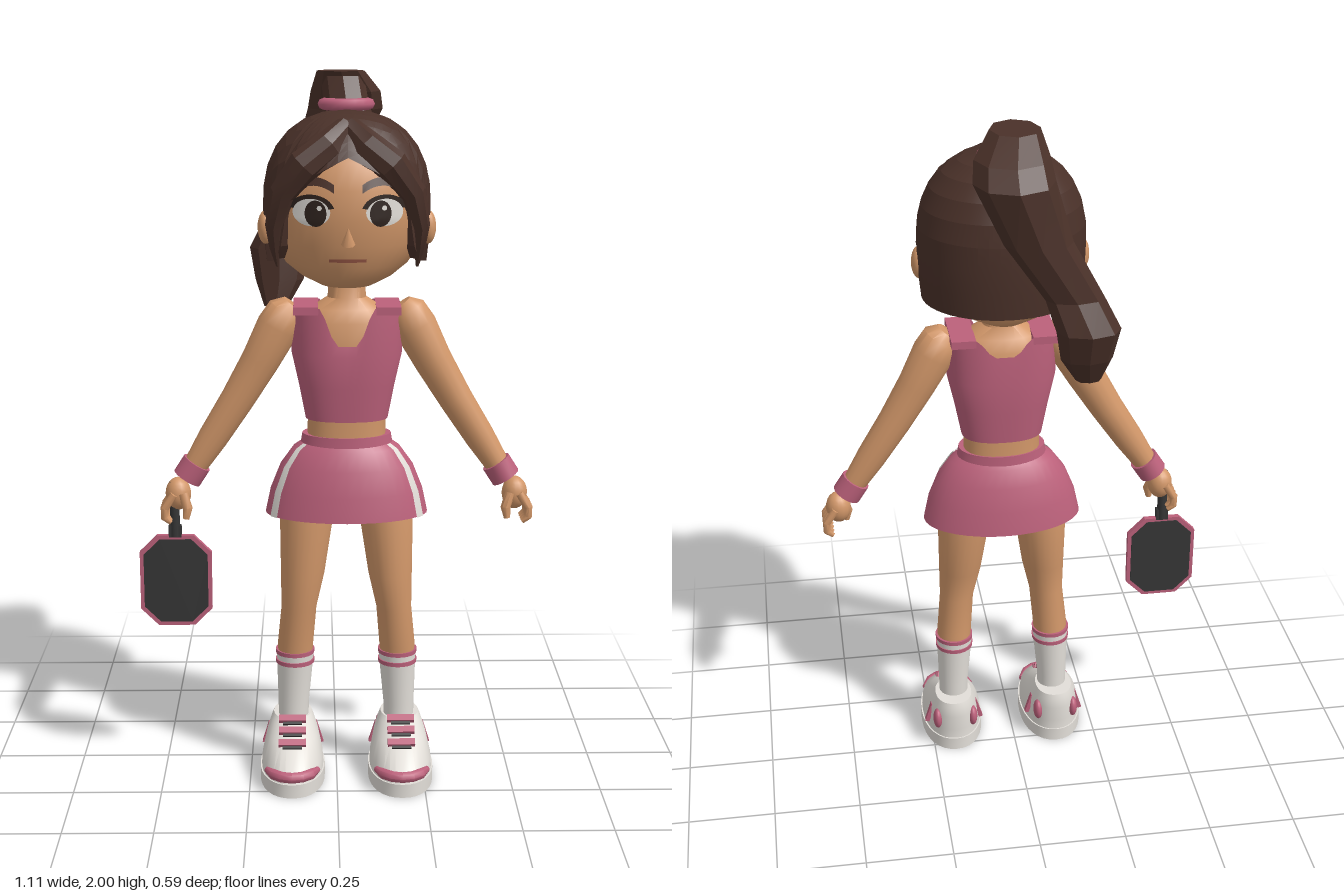
import * as THREE from 'three';
import { toCreasedNormals } from 'three/addons/utils/BufferGeometryUtils.js';

const mat = (name, color, side = THREE.FrontSide) => new THREE.MeshStandardMaterial({ name, color, side });

// Surface from rows of points; rows run upward, columns run from +x towards +z.
function grid(cols, rows, fn, crease = 0.7) {
  const pos = [], idx = [], w = cols + 1;
  for (let j = 0; j < rows; j++) for (let i = 0; i <= cols; i++) pos.push(...fn(i / cols, j));
  for (let j = 0; j < rows - 1; j++) for (let i = 0; i < cols; i++) {
    const a = j * w + i, b = a + 1, c = a + w, d = c + 1;
    idx.push(a, c, b, b, c, d);
  }
  const g = new THREE.BufferGeometry();
  g.setAttribute('position', new THREE.Float32BufferAttribute(pos, 3));
  g.setIndex(idx);
  return toCreasedNormals(g, crease);
}

// Stacked horizontal ovals: [y, rx, rz, cx, cz]
function loft(rings, { n = 24, power = 2, caps = true, crease = 0.7, edit } = {}) {
  const end = r => [r[0], 0, 0, r[3], r[4]];
  const all = caps ? [end(rings[0]), ...rings, end(rings[rings.length - 1])] : rings;
  const pw = v => Math.sign(v) * Math.pow(Math.abs(v), 2 / power);
  return grid(n, all.length, (u, j) => {
    const [y, rx, rz, cx = 0, cz = 0] = all[j], a = u * Math.PI * 2;
    const p = [cx + rx * pw(Math.cos(a)), y, cz + rz * pw(Math.sin(a))];
    return edit ? edit(p, j) : p;
  }, crease);
}

// Oval tube along a path: [x, y, z, width, depth]
function tube(path, n = 14, crease = 0.8) {
  const P = path.map(p => new THREE.Vector3(p[0], p[1], p[2])), last = path.length - 1;
  return grid(n, path.length + 2, (u, row) => {
    const j = Math.min(Math.max(row - 1, 0), last), a = u * Math.PI * 2;
    const k = row === 0 || row > last + 1 ? 0 : 1;
    const t = P[Math.min(j + 1, last)].clone().sub(P[Math.max(j - 1, 0)]).normalize();
    const e2 = new THREE.Vector3(0, 0, 1).addScaledVector(t, -t.z).normalize();
    const e1 = t.clone().cross(e2), [, , , ra, rb = ra] = path[j];
    return P[j].clone().addScaledVector(e1, k * ra * Math.cos(a)).addScaledVector(e2, k * rb * Math.sin(a)).toArray();
  }, crease);
}

const lerpAt = (table, x, c) => {
  let k = 0;
  while (k < table.length - 2 && x > table[k + 1][0]) k++;
  const [a, b] = [table[k], table[k + 1]];
  return THREE.MathUtils.lerp(a[c], b[c], THREE.MathUtils.clamp((x - a[0]) / (b[0] - a[0]), 0, 1));
};

const HEAD = [[1.43, .075, .1], [1.455, .125, .138], [1.49, .168, .158], [1.55, .205, .176], [1.62, .218, .188],
  [1.7, .214, .188], [1.77, .187, .168], [1.83, .14, .13], [1.87, .08, .08]].map(r => [...r, 0, .052]);

// Lays a flat outline on the curved face
function onFace(g, cx, cy, lift) {
  const p = g.attributes.position;
  for (let i = 0; i < p.count; i++) {
    const x = p.getX(i) + cx, y = p.getY(i) + cy;
    const q = Math.min(1, Math.abs(x) / lerpAt(HEAD, y, 1));
    p.setXYZ(i, x, y, .052 + lerpAt(HEAD, y, 2) * Math.sqrt(1 - q * q) + lift);
  }
  g.computeVertexNormals();
  return g;
}

export function createModel() {
  const skin = mat('skin', 0xd3986a), hair = mat('darkBrownHair', 0x4a3129, THREE.DoubleSide);
  const pink = mat('pinkFabric', 0xbc617b, THREE.DoubleSide), white = mat('offWhite', 0xe2ded8, THREE.DoubleSide);
  const dark = mat('charcoal', 0x363636), iris = mat('eyeBrown', 0x30241f), lip = mat('lip', 0x9c5a48);
  const model = new THREE.Group(), body = new THREE.Group();
  model.name = 'tennisGirl';
  body.name = 'body';
  body.position.x = 0.028;
  model.add(body);
  const add = (name, g, m, x = 0, y = 0, z = 0) => {
    const mesh = new THREE.Mesh(g, m);
    mesh.name = name;
    mesh.position.set(x, y, z);
    body.add(mesh);
    return mesh;
  };
  const ball = (name, m, c, s) => add(name, new THREE.SphereGeometry(1, 16, 12), m, ...c).scale.set(...s);
  const Z = .07, withZ = rings => rings.map(r => [...r, 0, Z]);

  // Torso, neck and head
  add('torso', loft(withZ([[.97, .11, .08], [1.1, .108, .078], [1.25, .138, .084], [1.33, .138, .08],
    [1.365, .1, .065], [1.395, .053, .047], [1.47, .048, .047]]), { power: 2.3 }), skin);
  add('head', loft(HEAD, { n: 40 }), skin);

  // Tank top with scooped neckline and straps
  add('tankTop', loft(withZ([[1.055, .115, .082], [1.15, .133, .092], [1.24, .153, .098], [1.375, .152, .092]]), {
    n: 56, power: 2.4, caps: false,
    edit: (p, j) => {
      if (j === 3) p[1] -= (p[2] > Z ? .105 : .05) * (1 - THREE.MathUtils.smoothstep(Math.abs(p[0]), .025, .08));
      return p;
    },
  }), pink);

  // Skirt, waistband and shorts
  const SKIRT = [[.78, .229, .137], [.85, .214, .128], [.92, .186, .112], [.97, .15, .093], [.985, .128, .083]];
  add('skirt', loft(withZ(SKIRT), { n: 36, caps: false }), pink);
  add('waistband', loft(withZ([[.975, .13, .086], [1.01, .124, .084]]), { n: 36 }), pink);
  add('shorts', loft(withZ([[.755, .035, .05], [.83, .14, .088], [.97, .13, .08]])), pink);

  for (const s of [1, -1]) {
    add('strap', new THREE.BoxGeometry(.068, .022, .168), pink, s * .113, 1.366, Z);
    add('skirtStripe', grid(3, SKIRT.length, (u, j) => {
      const [y, rx, rz] = SKIRT[j], a = .4 + u * .17;
      return [s * (rx + .004) * Math.cos(a), y, Z + (rz + .004) * Math.sin(a)];
    }), white);

    // Arm, wristband and hand
    add('arm', tube([[.15, 1.375, Z, .03], [.165, 1.355, Z, .054], [.19, 1.31, Z, .06], [.24, 1.215, Z, .053],
      [.305, 1.105, Z, .047], [.375, .995, .072, .042], [.445, .885, .075, .031]].map(p => [s * p[0], ...p.slice(1)])), skin);
    add('wristband', tube([[s * .421, .923, .074, .042], [s * .45, .878, .075, .042]], 16, .5), pink);
    ball('palm', skin, [s * .475, .835, .08], [.036, .047, .036]);
    for (let k = 0; k < 4; k++) {
      const z = .05 + k * .021;
      add('finger', tube([[s * .485, .84, z, .011], [s * .512, .8, z, .012], [s * .512, .772, z, .011],
        [s * .495, .758, z, .007]], 8), skin);
    }
    add('thumb', tube([[s * .46, .84, .105, .014], [s * .447, .8, .115, .014], [s * .452, .77, .117, .009]], 8), skin);

    // Leg and striped sock
    add('leg', loft([[.3, .046, .047, s * .148, .07], [.38, .051, .053, s * .147, .073], [.5, .05, .055, s * .136, .088],
      [.6, .062, .071, s * .125, .082], [.78, .077, .084, s * .112, .066], [.88, .07, .08, s * .1, .066]]), skin);
    add('sock', loft([[.1, .043, .044, s * .153, .068], [.2, .044, .046, s * .153, .067], [.363, .054, .055, s * .147, .071]]), white);
    for (const y of [.326, .355]) {
      add('sockStripe', loft([[y, .0555, .0565, s * .148, .071], [y + .012, .056, .057, s * .148, .071]]), pink);
    }

    // Shoe with toe trim, laces and side accents
    const fx = s * .156;
    add('sole', loft([[0, .093, .163, fx, .133], [.04, .093, .163, fx, .133]], { n: 32, power: 2.2 }), white);
    add('shoe', loft([[.04, .089, .159, fx, .133], [.07, .087, .153, fx, .128], [.12, .074, .115, fx, .086],
      [.15, .062, .085, fx, .06], [.165, .055, .07, fx, .05]], { n: 32, power: 2.2 }), white);
    add('toeTrim', tube([-.9, -.6, -.3, 0, .3, .6, .9].map(a =>
      [fx + .092 * Math.sin(a), .057, .13 + .155 * Math.cos(a), Math.abs(a) > .8 ? .009 : .016]), 8), pink);
    [[.17, .13], [.148, .163], [.124, .196]].forEach(([y, z]) => {
      add('lace', new THREE.BoxGeometry(.078, .013, .02), pink, fx, y, z).rotation.x = .6;
      add('laceGap', new THREE.BoxGeometry(.055, .006, .008), dark, fx, y - .008, z + .015).rotation.x = .6;
    });
    for (const t of [1, -1]) {
      ball('heelPatch', pink, [fx + t * .054, .1, .004], [.014, .033, .024]);
      add('sideBar', new THREE.BoxGeometry(.012, .065, .016), pink, fx + t * .074, .095, .047).rotation.z = t * .3;
    }

    // Ear, eye, lash and brow
    ball('ear', skin, [s * .222, 1.585, .066], [.022, .046, .028]);
    add('eyeWhite', onFace(new THREE.RingGeometry(0, 1, 24, 5).scale(.05, .037, 1), s * .097, 1.643, .004), white);
    add('iris', onFace(new THREE.RingGeometry(0, 1, 20, 4).scale(.029, .035, 1), s * .086, 1.64, .007), iris);
    add('eyeGlint', onFace(new THREE.RingGeometry(0, .007, 10, 2), s * .086 + .01, 1.655, .01), white);
    add('lash', onFace(new THREE.RingGeometry(.86, 1.12, 18, 2, .25, Math.PI - .5).scale(.056, .042, 1), s * .098, 1.643, .008), iris);
    const brow = new THREE.PlaneGeometry(.105, .022, 10, 2);
    const bp = brow.attributes.position;
    for (let i = 0; i < bp.count; i++) bp.setY(i, bp.getY(i) + .016 - 7 * bp.getX(i) ** 2);
    add('eyebrow', onFace(brow, s * .09, 1.708, .007), hair);

    // Swept fringe lock
    add('fringeLock', tube([[.005, 1.86, .155, .03, .03], [.05, 1.815, .205, .042, .028], [.115, 1.765, .218, .045, .03],
      [.172, 1.69, .19, .036, .034], [.197, 1.6, .165, .024, .032], [.195, 1.54, .148, .015, .022],
      [.189, 1.488, .135, .004, .006]].map(p => [s * p[0], ...p.slice(1)]), 8, .3), hair);
  }

  // Nose and mouth
  const nose = new THREE.ConeGeometry(.019, .05, 8).rotateX(.35);
  add('nose', nose, skin, 0, 1.582, .242);
  add('mouth', onFace(new THREE.PlaneGeometry(.1, .009, 12, 1), 0, 1.513, .004), lip);

  // Hair cap, its hem following the hairline round from the front
  const HEM = [[0, 1.785], [.15, 1.77], [.5, 1.73], [.82, 1.65], [.95, 1.51], [1.08, 1.51], [1.22, 1.62],
    [1.46, 1.62], [1.55, 1.49], [3.2, 1.49]];
  add('hairCap', grid(48, 11, (u, j) => {
    const a = u * Math.PI * 2;
    const fromFront = Math.acos(THREE.MathUtils.clamp(Math.sin(a), -1, 1));
    const hem = lerpAt(HEM, fromFront, 1);
    const y = j === 0 ? hem : hem + (1.9 - hem) * Math.sin((j - 1) / 9 * Math.PI / 2);
    const t = y > 1.65 ? (y - 1.65) / .25 : (1.65 - y) / .45;
    const r = Math.pow(Math.max(0, 1 - Math.pow(t, 2.3)), 1 / 2.3) * (j === 0 ? .88 : 1);
    return [.229 * r * Math.cos(a), y, .052 + .2 * r * Math.sin(a)];
  }, .15), hair);

  // Ponytail and its tie
  add('ponytail', loft([[1.325, .035, .025, -.2, -.185], [1.4, .07, .045, -.19, -.21], [1.49, .086, .058, -.19, -.23],
    [1.575, .078, .042, -.155, -.215], [1.73, .09, .06, -.06, -.21], [1.89, .106, .1, 0, -.19],
    [1.94, .098, .095, 0, -.15], [1.998, .066, .074, -.015, -.095]], { n: 8, crease: .1 }), hair);
  add('ponytailRoot', loft([[1.85, .085, .07, 0, -.045], [1.91, .062, .05, 0, -.045], [1.985, .06, .06, -.01, -.085]],
    { n: 8, crease: .1 }), hair);
  add('hairTie', new THREE.TorusGeometry(.06, .019, 8, 20).rotateX(Math.PI / 2).scale(1, .9, .85), pink, 0, 1.91, -.043);

  // Paddle held in the right hand
  const octagon = (w, h, c, depth) => new THREE.ExtrudeGeometry(new THREE.Shape([[w, h - c], [w - c, h], [c - w, h], [-w, h - c],
    [-w, c - h], [c - w, -h], [w - c, -h], [w, c - h]].map(p => new THREE.Vector2(...p))),
  { depth, bevelEnabled: false }).translate(0, 0, -depth / 2);
  add('paddleRim', octagon(.102, .134, .05, .016), pink, -.486, .579, .083);
  add('paddleFace', octagon(.091, .123, .046, .022), dark, -.486, .579, .083);
  add('paddleThroat', new THREE.BoxGeometry(.036, .035, .018), dark, -.486, .725, .083);
  add('paddleHandle', new THREE.CylinderGeometry(.014, .014, .16, 10), dark, -.486, .79, .083);
  return model;
}
